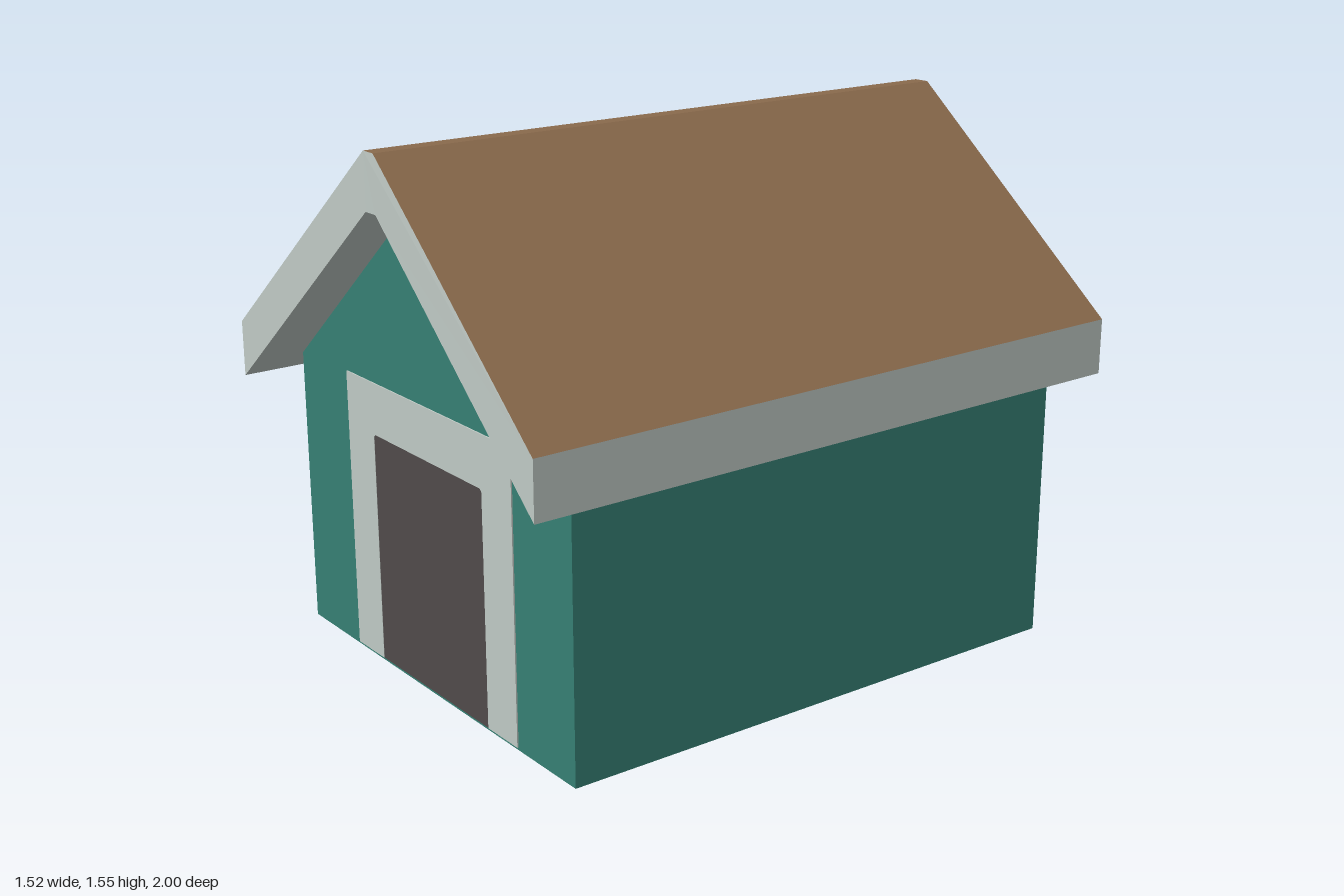
import * as THREE from 'three';

const mat = (name, color) => {
  const m = new THREE.MeshStandardMaterial({ color });
  m.name = name;
  return m;
};

const shapeOf = (pts) => new THREE.Shape(pts.map(([x, y]) => new THREE.Vector2(x, y)));

// Extrude an outline from z0 to z1, then move each vertex by a rule
function prism(pts, z0, z1, rule) {
  const g = new THREE.ExtrudeGeometry(shapeOf(pts), { depth: z1 - z0, bevelEnabled: false });
  g.translate(0, 0, z0);
  if (rule) {
    const p = g.attributes.position;
    const v = new THREE.Vector3();
    for (let i = 0; i < p.count; i++) {
      rule(v.fromBufferAttribute(p, i));
      p.setXYZ(i, v.x, v.y, v.z);
    }
  }
  g.computeVertexNormals();
  return g;
}

// Height of the roof underside at a given x
const ridge = 0.025, eave = 0.76;
const underside = (x) =>
  1.395 - 0.615 * Math.max(0, Math.abs(x) - ridge) / (eave - ridge);

export function createModel() {
  const group = new THREE.Group();
  const teal = mat('tealWall', 0x368074);
  const trim = mat('paleTrim', 0xc0cac5);
  const brown = mat('brownRoof', 0x8a6a4c);
  const dark = mat('darkDoorway', 0x504b4a);

  const add = (name, geometry, material) => {
    const mesh = new THREE.Mesh(geometry, material);
    mesh.name = name;
    group.add(mesh);
  };

  // Gabled walls, slightly wider at the back, tucked just under the roof
  const front = 0.845, back = -0.815;
  add('walls', prism(
    [[-0.69, 0], [0.69, 0], [0.69, 0.84], [ridge, 1.395], [-ridge, 1.395], [-0.69, 0.84]],
    back, front,
    (v) => {
      if (Math.abs(v.x) > 0.5) v.x = Math.sign(v.x) * (v.z > 0 ? 0.69 : 0.725);
      if (v.y > 0.5) v.y = underside(v.x) + 0.004;
    }), teal);

  // Roof slab, a little longer at the eaves than at the ridge
  const roof = prism(
    [[-eave, 0.78], [-ridge, 1.395], [ridge, 1.395], [eave, 0.78],
      [eave, 0.945], [ridge, 1.555], [-ridge, 1.555], [-eave, 0.945]],
    -1, 1,
    (v) => {
      const t = (Math.abs(v.x) - ridge) / (eave - ridge);
      v.z = Math.sign(v.z) * (0.98 + 0.02 * t);
    });
  // Upward faces are brown, all others are trim
  roof.clearGroups();
  const n = roof.attributes.normal;
  for (let i = 0; i < n.count; i += 3) roof.addGroup(i, 3, n.getY(i) > 0.3 ? 1 : 0);
  add('roof', roof, [trim, brown]);

  // Door surround and doorway, thin plates on the front wall
  add('doorFrame', prism(
    [[-0.42, 0.008], [-0.275, 0.008], [-0.275, 0.688], [-0.268, 0.695], [0.278, 0.695],
      [0.285, 0.688], [0.285, 0.008], [0.427, 0.008], [0.427, 0.848], [-0.42, 0.848]],
    front - 0.002, front + 0.004), trim);
  add('doorway', prism(
    [[-0.275, 0.008], [0.285, 0.008], [0.285, 0.688], [0.278, 0.695],
      [-0.268, 0.695], [-0.275, 0.688]],
    front - 0.002, front + 0.003), dark);

  return group;
}
